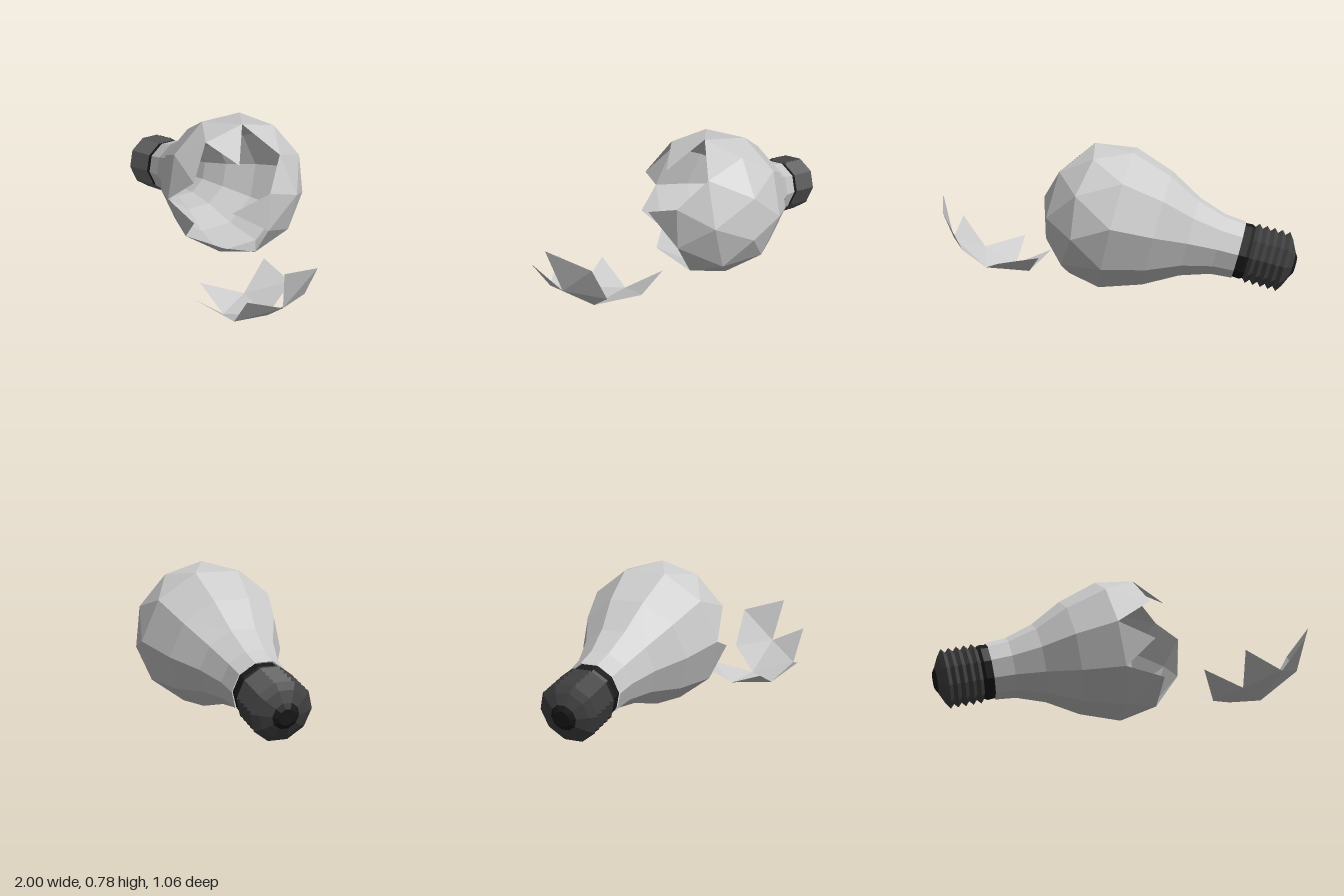
import * as THREE from 'three';

const glass = new THREE.MeshStandardMaterial({ color: 0xcccccc, flatShading: true, side: THREE.DoubleSide });
const metal = new THREE.MeshStandardMaterial({ color: 0x444444, flatShading: true, side: THREE.DoubleSide });
const black = new THREE.MeshStandardMaterial({ color: 0x1a1a1a, flatShading: true, side: THREE.DoubleSide });
const RAD = Math.PI / 180;

function addMesh(parent, name, geometry, material) {
  const mesh = new THREE.Mesh(geometry, material);
  mesh.name = name;
  parent.add(mesh);
}

// Ten-sided turned part; profile is [radius, position along the bulb axis]
function turned(profile) {
  return new THREE.LatheGeometry(profile.map(([r, y]) => new THREE.Vector2(r, y)), 10, 18 * RAD);
}

// Triangles picked by name from a set of named points
function triangles(points, faces) {
  const position = faces.flatMap((face) => face.flatMap((key) => points[key]));
  const geometry = new THREE.BufferGeometry();
  geometry.setAttribute('position', new THREE.Float32BufferAttribute(position, 3));
  geometry.computeVertexNormals();
  return geometry;
}

// Rounded end of the bulb: half a subdivided icosahedron, with some faces broken out
function crownGeometry() {
  const points = { P: [0, 0.42, 0] };
  const ring = (name, count, start, radius, y) => {
    for (let k = 0; k < count; k++) {
      const angle = (start + (360 / count) * k) * RAD;
      points[name + k] = [radius * Math.sin(angle), y, radius * Math.cos(angle)];
    }
  };
  ring('N', 5, 36, 0.22, 0.357);
  ring('I', 5, 36, 0.375, 0.188);
  ring('M', 5, 0, 0.36, 0.22);
  ring('E', 10, 18, 0.397, 0);

  const faces = [];
  for (let k = 0; k < 5; k++) {
    const n = (k + 1) % 5;
    const [N, N1, I, I1, M, M1] = ['N' + k, 'N' + n, 'I' + k, 'I' + n, 'M' + k, 'M' + n];
    const [Ea, Eb, Ec] = [0, 1, 2].map((j) => 'E' + ((2 * k + j) % 10));
    faces.push(['P', N, N1], [N, M1, N1], [N, M, I], [N, I, M1],
      [I, Ea, Eb], [M, Ea, I], [I, Eb, M1], [M1, Eb, Ec]);
    // the last face is shared with the next sector's M, Ea edge
    faces.pop();
    faces.push([M1, Eb, Ec]);
  }
  const broken = ['M0 N0 N4', 'N0 N4 P', 'N0 N1 P', 'M1 N0 N1', 'I0 M1 N0', 'I1 M1 N1',
    'I1 M2 N1', 'M2 N1 N2', 'I2 M2 N2', 'E2 I1 M1', 'E3 I1 M2'];
  return triangles(points, faces.filter((f) => !broken.includes([...f].sort().join(' '))));
}

// The piece that fell out, lying in front of the hole
function shardGeometry() {
  const points = {
    A: [0.41, 0.135, -0.04], B: [0.64, 0.1, -0.04], C: [0.74, 0.03, 0.19], D: [0.85, 0.16, 0.04],
    E: [0.96, 0.37, 0.055], F: [1, 0.44, 0.3], G: [0.935, 0.195, 0.25], H: [0.91, 0.29, 0.455],
    I: [0.78, 0.105, 0.435], J: [0.55, 0.16, 0.53], K: [0.585, 0.02, 0.36], L: [0.375, 0.105, 0.36],
    M: [0.485, 0.02, 0.15],
  };
  const faces = ['MBA', 'MCB', 'MLK', 'MKC', 'KIC', 'KJI', 'CGD', 'CIG', 'GED', 'GFE', 'GIH'];
  return triangles(points, faces.map((f) => [...f]));
}

export function createModel() {
  const model = new THREE.Group();
  model.name = 'brokenLightBulb';

  // Bulb lies tilted: local y runs along its axis, local z points up
  const bulb = new THREE.Group();
  bulb.name = 'bulb';
  const axis = new THREE.Vector3(0.968, 0.246, 0.07).normalize();
  const side = new THREE.Vector3().crossVectors(axis, new THREE.Vector3(0, 1, 0)).normalize();
  const up = new THREE.Vector3().crossVectors(side, axis);
  bulb.quaternion.setFromRotationMatrix(new THREE.Matrix4().makeBasis(side, axis, up));
  bulb.position.set(-0.037, 0.387, -0.135);
  model.add(bulb);

  addMesh(bulb, 'glassCrown', crownGeometry(), glass);
  addMesh(bulb, 'glassNeck', turned([
    [0.158, -0.675], [0.168, -0.56], [0.221, -0.4], [0.32, -0.224], [0.397, 0],
  ]), glass);

  // Black collar between glass and screw base
  addMesh(bulb, 'collar', turned([
    [0.115, -0.74], [0.14, -0.74], [0.153, -0.715], [0.15, -0.67], [0.115, -0.67], [0.115, -0.74],
  ]), black);

  // Screw base with five ridges
  const thread = [[0.072, -0.972], [0.13, -0.945]];
  for (let k = 0; k < 5; k++) {
    const y = -0.92 + k * 0.042;
    thread.push([0.166, y], [0.143, y + 0.021]);
  }
  thread.push([0.13, -0.72]);
  addMesh(bulb, 'screwBase', turned(thread), metal);
  addMesh(bulb, 'contactTip', turned([[0, -0.988], [0.045, -0.988], [0.072, -0.972]]), black);

  addMesh(model, 'glassShard', shardGeometry(), glass);
  return model;
}
